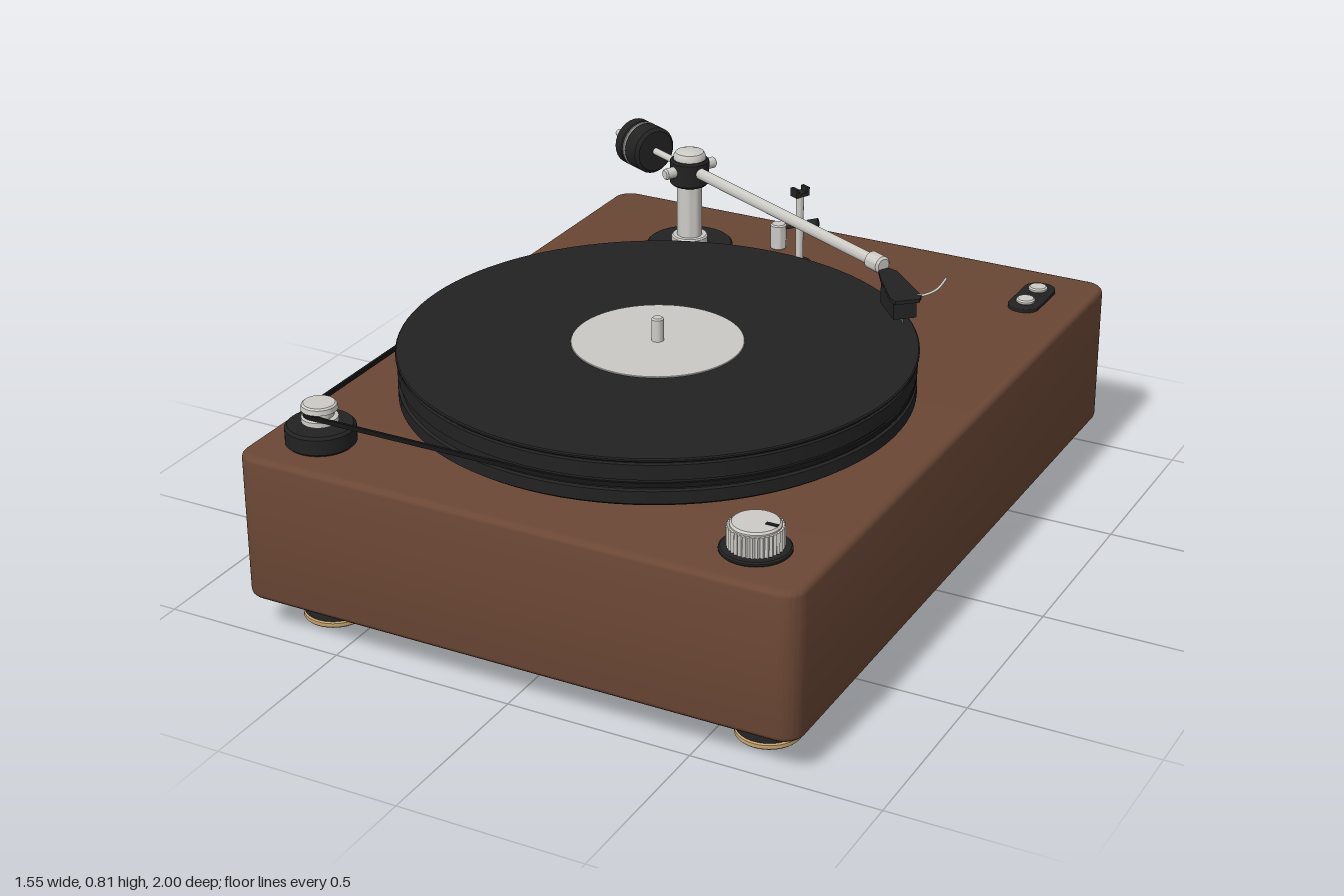
import * as THREE from 'three';
import { toCreasedNormals } from 'three/addons/utils/BufferGeometryUtils.js';

const mat = (name, color) => {
  const m = new THREE.MeshStandardMaterial({ color });
  m.name = name;
  return m;
};

export function createModel() {
  const wood = mat('walnut', 0x6b4735);
  const black = mat('black', 0x222222);
  const rubber = mat('belt rubber', 0x161616);
  const silver = mat('silver', 0xcdcbc6);
  const paper = mat('label paper', 0xcbc9c4);
  const brass = mat('brass', 0xc6a56f);

  const root = new THREE.Group();
  root.name = 'turntable';

  const add = (parent, name, geometry, material, x = 0, y = 0, z = 0) => {
    const m = new THREE.Mesh(geometry, material);
    m.name = name;
    m.position.set(x, y, z);
    parent.add(m);
    return m;
  };
  const group = (name, x, y, z, ry = 0, parent = root) => {
    const g = new THREE.Group();
    g.name = name;
    g.position.set(x, y, z);
    g.rotation.y = ry;
    parent.add(g);
    return g;
  };
  // Turned solid from [radius, y] pairs listed bottom to top
  const turned = (points, sides = 40) => toCreasedNormals(
    new THREE.LatheGeometry(points.map(([r, y]) => new THREE.Vector2(r, y)), sides), 0.6);
  // Cylinder with small chamfers, standing on y = y0
  const disc = (r, y0, y1, sides = 40, c = 0.004) => turned(
    [[0, y0], [r - c, y0], [r, y0 + c], [r, y1 - c], [r - c, y1], [0, y1]], sides);
  const roundedRect = (w, d, r) => {
    const s = new THREE.Shape();
    const x = w / 2 - r, y = d / 2 - r, q = Math.PI / 2;
    s.absarc(x, y, r, 0, q);
    s.absarc(-x, y, r, q, 2 * q);
    s.absarc(-x, -y, r, 2 * q, 3 * q);
    s.absarc(x, -y, r, 3 * q, 4 * q);
    s.closePath();
    return s;
  };
  // Plan shape (x, z) extruded between two heights
  const slab = (shape, y0, y1, bevel = 0) => {
    const g = new THREE.ExtrudeGeometry(shape, {
      depth: y1 - y0 - 2 * bevel, curveSegments: 12, bevelEnabled: bevel > 0,
      bevelSize: bevel, bevelThickness: bevel, bevelOffset: -bevel, bevelSegments: 3,
    });
    return toCreasedNormals(g.rotateX(Math.PI / 2).translate(0, y1 - bevel, 0), 0.7);
  };

  // Plinth and feet
  add(root, 'plinth', slab(roundedRect(1.55, 2, 0.055), 0.1, 0.5, 0.015), wood);
  for (const x of [-0.62, 0.62]) for (const z of [-0.82, 0.82]) {
    const foot = group('foot', x, 0, z);
    add(foot, 'footBase', disc(0.083, 0, 0.018), brass);
    add(foot, 'footBody', turned([[0, 0.018], [0.08, 0.018], [0.079, 0.03], [0.07, 0.055],
      [0.073, 0.074], [0, 0.074]]), black);
    add(foot, 'footCollar', disc(0.091, 0.074, 0.101, 40, 0.007), brass);
  }

  // Platter, record, label and spindle
  const platter = group('platterAssembly', 0, 0, 0.22);
  add(platter, 'subPlatter', disc(0.3, 0.499, 0.53, 64), black);
  add(platter, 'platter', turned([[0, 0.525], [0.65, 0.525], [0.664, 0.535], [0.664, 0.568],
    [0.656, 0.571], [0.656, 0.595], [0.664, 0.598], [0.664, 0.638], [0.66, 0.642],
    [0.645, 0.644], [0, 0.644]], 96), black);
  add(platter, 'record', disc(0.668, 0.646, 0.656, 96, 0.003), black);
  add(platter, 'recordUnderside', disc(0.645, 0.643, 0.648, 96, 0.001), black);
  add(platter, 'recordLabel', disc(0.222, 0.654, 0.659, 64, 0.001), paper);
  add(platter, 'spindle', disc(0.016, 0.65, 0.722, 20), silver);

  // Motor pulley
  const motor = group('motor', -0.62, 0, 0.84);
  add(motor, 'motorHousing', disc(0.09, 0.499, 0.553, 40, 0.007), black);
  add(motor, 'pulley', turned([[0, 0.55], [0.03, 0.55], [0.03, 0.56], [0.047, 0.56], [0.047, 0.573],
    [0.036, 0.576], [0.036, 0.59], [0.047, 0.593], [0.045, 0.606], [0.04, 0.61], [0, 0.61]], 32), silver);

  // Drive belt: a closed loop tangent to platter and pulley
  const beltLoop = (path, R, r) => {
    const heading = 0.75 * Math.PI;
    const a = Math.acos((R - r) / Math.hypot(0.62, 0.62));
    path.absarc(0, 0.22, R, heading + a, heading - a + 2 * Math.PI);
    path.absarc(-0.62, 0.84, r, heading - a, heading + a);
    path.closePath();
    return path;
  };
  const beltShape = beltLoop(new THREE.Shape(), 0.662, 0.042);
  beltShape.holes.push(beltLoop(new THREE.Path(), 0.655, 0.035));
  const beltGeometry = new THREE.ExtrudeGeometry(beltShape, { depth: 0.012, curveSegments: 64, bevelEnabled: false });
  add(root, 'driveBelt', beltGeometry.rotateX(Math.PI / 2).translate(0, 0.589, 0), rubber);

  // Speed knob with fluted rim and pointer
  const knob = group('speedKnob', 0.59, 0, 0.84);
  add(knob, 'knobBase', disc(0.088, 0.499, 0.512), black);
  const flutes = new THREE.Shape();
  for (let i = 0; i < 72; i++) {
    const a = (i / 72) * Math.PI * 2, r = i % 2 ? 0.065 : 0.07;
    flutes[i ? 'lineTo' : 'moveTo'](r * Math.cos(a), r * Math.sin(a));
  }
  flutes.closePath();
  add(knob, 'knobRim', slab(flutes, 0.511, 0.566), silver);
  add(knob, 'knobCap', disc(0.062, 0.56, 0.575, 40, 0.005), silver);
  add(knob, 'knobPointer', new THREE.BoxGeometry(0.03, 0.004, 0.009), black, 0.042, 0.576, 0);

  // Push buttons on a capsule plate
  const buttons = group('buttonPanel', 0.625, 0, -0.8);
  add(buttons, 'buttonPlate', slab(roundedRect(0.088, 0.195, 0.04), 0.499, 0.512, 0.003), black);
  for (const z of [-0.046, 0.046]) add(buttons, 'button', disc(0.026, 0.51, 0.523, 24), silver, 0, 0, z);

  // Tonearm pedestal
  const pedestal = group('tonearmPedestal', -0.385, 0, -0.69);
  add(pedestal, 'tonearmBase', disc(0.123, 0.499, 0.52, 48), black);
  add(pedestal, 'columnCollar', disc(0.052, 0.518, 0.545, 32), silver);
  add(pedestal, 'column', disc(0.036, 0.54, 0.705, 32), silver);
  add(pedestal, 'bearing', disc(0.056, 0.7, 0.776, 32, 0.006), black);
  add(pedestal, 'bearingCap', turned([[0, 0.77], [0.046, 0.77], [0.046, 0.786], [0.04, 0.796],
    [0.025, 0.801], [0, 0.803]], 32), silver);

  // Tonearm, running along local +x from the bearing
  const arm = group('tonearm', -0.385, 0.745, -0.69, -0.4636);
  const rod = (name, r, x0, x1, material, c = 0.003) =>
    add(arm, name, disc(r, x0, x1, 28, c), material).rotation.z = -Math.PI / 2;
  rod('armTube', 0.016, 0.04, 0.83, silver);
  rod('armCollar', 0.024, 0.815, 0.872, silver, 0.006);
  rod('rearShaft', 0.01, -0.36, -0.04, silver);
  rod('counterweightRear', 0.068, -0.282, -0.236, black, 0.009);
  rod('counterweightRing', 0.0685, -0.237, -0.232, silver, 0.001);
  rod('counterweightFront', 0.068, -0.233, -0.167, black, 0.009);
  for (const s of [-1, 1]) {
    const pin = add(arm, 'pivotScrew', disc(0.016, 0.04, 0.087, 20), silver);
    pin.rotation.x = s * Math.PI / 2;
  }

  // Headshell, cartridge, stylus and finger lift
  const head = group('headshell', 0.4, 0.73, -0.295, -Math.atan2(0.155, 0.135));
  const plate = new THREE.Shape([[-0.012, -0.014], [0.012, -0.03], [0.18, -0.045], [0.203, -0.032],
    [0.203, 0.032], [0.18, 0.04], [0.05, 0.026], [-0.012, 0.014]].map(([x, y]) => new THREE.Vector2(x, y)));
  add(head, 'headshellPlate', slab(plate, -0.004, 0.006), black);
  add(head, 'cartridge', new THREE.BoxGeometry(0.115, 0.053, 0.062), black, 0.127, -0.027, 0);
  const stylus = add(head, 'stylus', new THREE.CylinderGeometry(0.003, 0.0015, 0.03, 8), silver, 0.158, -0.062, 0);
  stylus.rotation.z = 0.7;
  const liftCurve = new THREE.CatmullRomCurve3([[-0.035, 0.003], [-0.06, 0.005], [-0.09, 0.018], [-0.112, 0.045]]
    .map(([z, y]) => new THREE.Vector3(0.175, y, z)));
  add(head, 'fingerLift', new THREE.TubeGeometry(liftCurve, 16, 0.0035, 8), silver);

  // Arm rest with a small fork
  const rest = group('armRest', -0.055, 0, -0.73, -0.4636);
  add(rest, 'restBase', disc(0.034, 0.499, 0.51, 24, 0.003), black);
  add(rest, 'restPost', disc(0.011, 0.505, 0.715, 16, 0.002), silver);
  add(rest, 'restCradle', new THREE.BoxGeometry(0.028, 0.012, 0.046), black, 0, 0.714, 0);
  for (const z of [-0.018, 0.018])
    add(rest, 'restProng', new THREE.BoxGeometry(0.028, 0.018, 0.01), black, 0, 0.724, z);

  // Cueing lever
  const cue = group('cueLever', -0.16, 0, -0.81, Math.atan2(0.03, 0.095));
  add(cue, 'cuePost', disc(0.023, 0.499, 0.575, 24), silver);
  const lever = add(cue, 'leverRod', new THREE.CylinderGeometry(0.005, 0.005, 0.085, 10), black, 0.06, 0.573, 0);
  lever.rotation.z = -Math.PI / 2 + 0.25;
  const tip = add(cue, 'leverTip', new THREE.CylinderGeometry(0.012, 0.012, 0.032, 14), black, 0.1, 0.583, 0);
  tip.rotation.z = -Math.PI / 2 + 0.25;

  return root;
}
